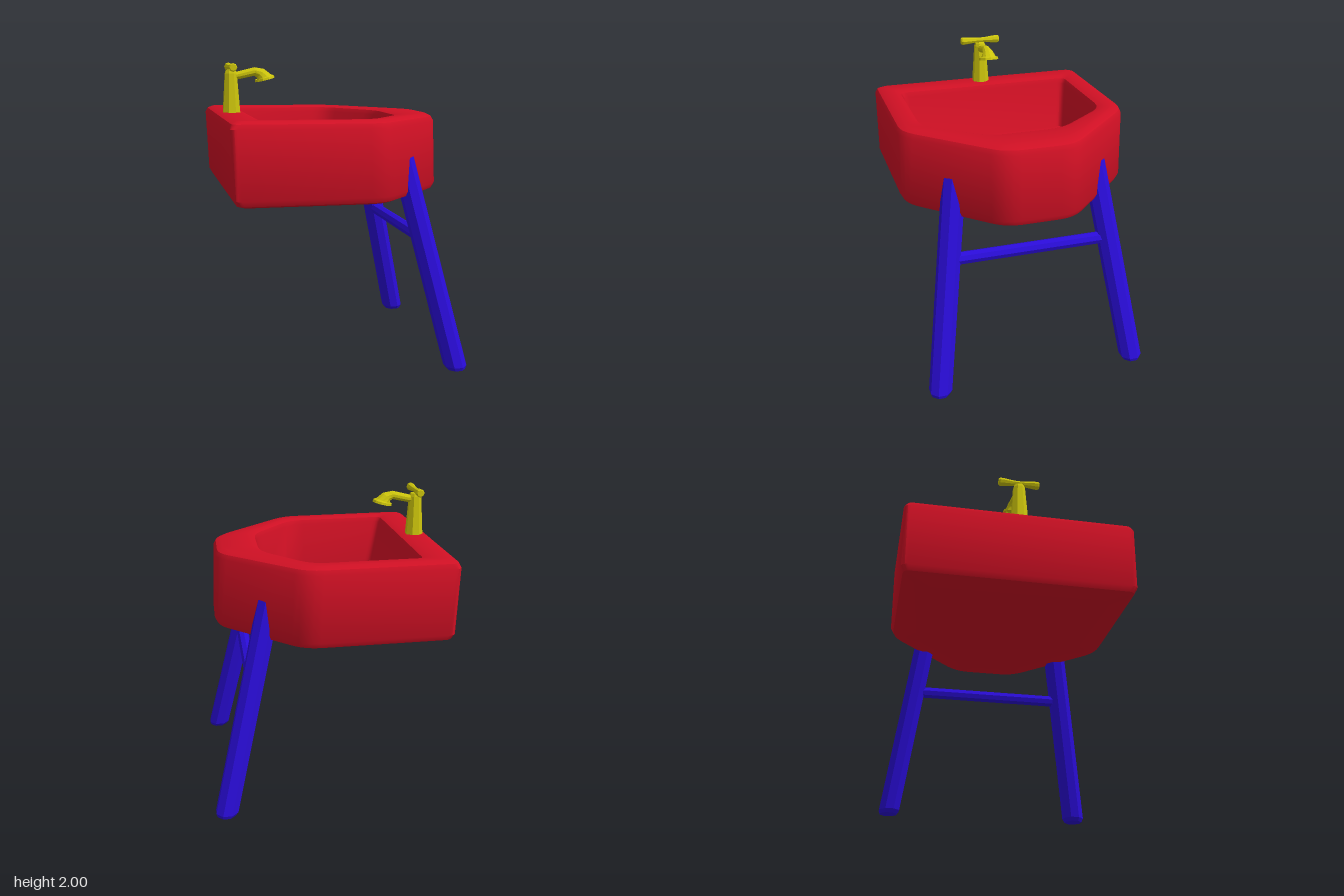
import * as THREE from 'three';
import { toCreasedNormals } from 'three/addons/utils/BufferGeometryUtils.js';

const V = (x, y, z) => new THREE.Vector3(x, y, z);

// Skin a list of equal-length rings and cap both ends with fans
function loft(rings) {
  const n = rings[0].length, pos = [];
  const tri = (...pts) => pts.forEach((p) => pos.push(p.x, p.y, p.z));
  const centre = (ring) => ring.reduce((s, p) => s.add(p), V(0, 0, 0)).divideScalar(n);
  const first = rings[0], last = rings[rings.length - 1];
  const c0 = centre(first), c1 = centre(last);
  for (let i = 0; i < n; i++) {
    const k = (i + 1) % n;
    tri(c0, first[i], first[k]);
    for (let j = 0; j + 1 < rings.length; j++) {
      const a = rings[j], b = rings[j + 1];
      tri(a[i], b[i], a[k]);
      tri(a[k], b[i], b[k]);
    }
    tri(last[i], c1, last[k]);
  }
  const g = new THREE.BufferGeometry();
  g.setAttribute('position', new THREE.Float32BufferAttribute(pos, 3));
  g.computeVertexNormals();
  return g;
}

// Six-cornered basin outline with softened corners, inset by d, at height y.
// The corners run front, side and back; the other half is mirrored.
function outline([front, side, back], d, y) {
  const half = [
    [front[0] - d, front[1] - 0.41 * d, 0.1],
    [side[0] - 0.41 * d, side[1] - d, 0.1],
    [back[0] + d, back[1] - d, 0.045],
  ];
  const all = [...half, ...half.map(([x, z, r]) => [x, -z, r]).reverse()];
  const ring = [];
  all.forEach(([x, z, r], i) => {
    const p = V(x, y, z);
    const toward = (q) => V(q[0], y, q[1]).sub(p).setLength(r).add(p);
    const curve = new THREE.QuadraticBezierCurve3(
      toward(all[(i + 5) % 6]), p, toward(all[(i + 1) % 6]));
    ring.push(...curve.getPoints(4));
  });
  // slight forward lean and slope
  ring.forEach((q) => q.set(q.x + (1.4 - q.y) * 0.04, q.y - 0.011 * q.x, q.z));
  return ring;
}

function basinGeometry() {
  const outer = [[0.70, 0.23], [0.18, 0.77], [-0.77, 0.77]];
  const bowl = [[0.405, 0.23], [0.12, 0.605], [-0.55, 0.605]];
  const floor = [[0.395, 0.21], [0.105, 0.585], [-0.505, 0.585]];
  return toCreasedNormals(loft([
    outline(outer, 0.05, 1.147),
    outline(outer, 0.018, 1.16),
    outline(outer, 0, 1.195),
    outline(outer, 0, 1.62),
    outline(outer, 0.015, 1.65),
    outline(outer, 0.05, 1.667),
    outline(bowl, -0.045, 1.667),
    outline(bowl, -0.013, 1.655),
    outline(bowl, 0, 1.625),
    outline(floor, 0, 1.305),
    outline(floor, 0.02, 1.28),
  ]), 0.6);
}

// Octagonal leg, sheared outwards so that the foot stays level
function legGeometry() {
  const profile = [[0, 0], [0.062, 0], [0.077, 0.025], [0.077, 1.48], [0, 1.48]];
  const g = new THREE.LatheGeometry(profile.map(([r, y]) => new THREE.Vector2(r, y)), 8, Math.PI / 8);
  const p = g.attributes.position;
  for (let i = 0; i < p.count; i++) {
    const y = p.getY(i);
    p.setX(i, p.getX(i) + 0.70 - 0.235 * y);
    p.setZ(i, p.getZ(i) + 0.683 - 0.152 * y);
  }
  return g;
}

// Spout: round sections [x, y, travel angle, radius], ending in a hollow nozzle
function spoutGeometry() {
  const sections = [
    [-0.67, 1.912, 0.2, 0.026], [-0.62, 1.918, 0.25, 0.026],
    [-0.515, 1.942, 0.05, 0.028], [-0.475, 1.93, -0.7, 0.038],
    [-0.452, 1.906, -1.2, 0.05], [-0.449, 1.901, -1.34, 0.066],
    [-0.445, 1.886, -1.34, 0.068], [-0.445, 1.886, -1.34, 0.05],
    [-0.449, 1.904, -1.34, 0.042],
  ];
  return loft(sections.map(([x, y, t, r]) => Array.from({ length: 10 }, (_, i) => {
    const a = (i / 10) * Math.PI * 2, c = Math.cos(a) * r;
    return V(x + Math.sin(t) * c, y - Math.cos(t) * c, Math.sin(a) * r);
  })));
}

export function createModel() {
  const model = new THREE.Group();
  const red = new THREE.MeshStandardMaterial({ color: 0xd01024 });
  const blue = new THREE.MeshStandardMaterial({ color: 0x2a0cd8, flatShading: true });
  const yellow = new THREE.MeshStandardMaterial({ color: 0xccc40c, flatShading: true });
  const add = (name, geometry, material, parent = model) => {
    const mesh = new THREE.Mesh(geometry, material);
    mesh.name = name;
    parent.add(mesh);
    return mesh;
  };

  add('basin', basinGeometry(), red);

  // Two splayed legs and the bar between them
  const stand = new THREE.Group();
  stand.name = 'stand';
  model.add(stand);
  add('leftLeg', legGeometry(), blue, stand);
  add('rightLeg', legGeometry(), blue, stand).scale.z = -1;
  const bar = add('crossbar', new THREE.CylinderGeometry(0.042, 0.042, 1.08, 8), blue, stand);
  bar.rotation.x = Math.PI / 2;
  bar.position.set(0.496, 0.872, 0);

  // Tap: tapered column, flared cross handle and spout
  const tap = new THREE.Group();
  tap.name = 'tap';
  model.add(tap);
  const column = [[0, 1.64], [0.063, 1.64], [0.06, 1.68], [0.042, 1.93], [0.034, 1.952], [0, 1.96]];
  add('tapColumn', new THREE.LatheGeometry(column.map(([r, y]) => new THREE.Vector2(r, y)), 8, Math.PI / 8),
    yellow, tap).position.x = -0.673;
  const grip = [[0, -0.14], [0.022, -0.14], [0.028, -0.13], [0.026, -0.1], [0.018, -0.03],
    [0.018, 0.03], [0.026, 0.1], [0.028, 0.13], [0.022, 0.14], [0, 0.14]];
  const handle = add('tapHandle', new THREE.LatheGeometry(grip.map(([r, y]) => new THREE.Vector2(r, y)), 8),
    yellow, tap);
  handle.rotation.x = Math.PI / 2;
  handle.position.set(-0.673, 1.972, 0);
  add('tapSpout', spoutGeometry(), yellow, tap);

  return model;
}
